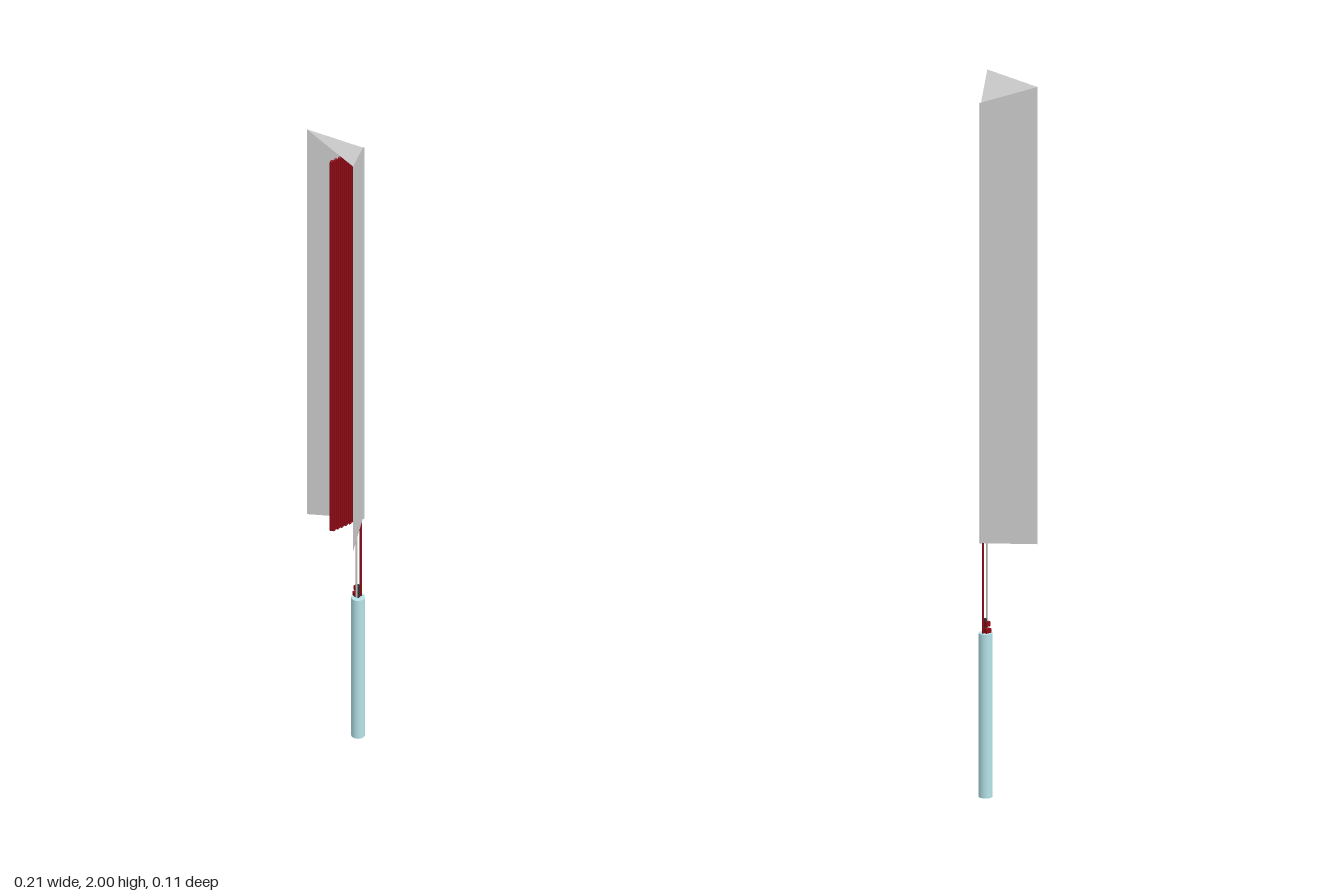
import * as THREE from 'three';

const mat = (color, side = THREE.FrontSide) => new THREE.MeshStandardMaterial({ color, side });
const grey = mat(0xcccccc, THREE.DoubleSide);
const red = mat(0x8e0a14);
const dark = mat(0x333333);
const blue = mat(0xb5e3e8);

const BOTTOM = 0.715, FRONT = 0.058, APEX = -0.052, HALF = 0.105;
const TOP_FRONT = 2, TOP_APEX = 1.953;

function add(parent, name, geometry, material, x = 0, y = 0, z = 0) {
  const mesh = new THREE.Mesh(geometry, material);
  mesh.name = name;
  mesh.position.set(x, y, z);
  parent.add(mesh);
  return mesh;
}

// Flat sheet through its corners, given in order around the edge
function sheet(corners) {
  const g = new THREE.BufferGeometry();
  const points = [];
  for (let i = 1; i < corners.length - 1; i++) points.push(...corners[0], ...corners[i], ...corners[i + 1]);
  g.setAttribute('position', new THREE.Float32BufferAttribute(points, 3));
  g.computeVertexNormals();
  return g;
}

// Upright rod between two heights
function rod(parent, name, radius, y0, y1, x, z, material) {
  return add(parent, name, new THREE.CylinderGeometry(radius, radius, y1 - y0, 10), material, x, (y0 + y1) / 2, z);
}

export function createModel() {
  const model = new THREE.Group();
  model.name = 'cornerReflectorOnHandle';

  // V-shaped reflector, open at the front and bottom
  const reflector = new THREE.Group();
  reflector.name = 'reflector';
  model.add(reflector);
  for (const s of [1, -1]) {
    add(reflector, s > 0 ? 'leftPanel' : 'rightPanel', sheet([
      [0, BOTTOM, APEX], [0, TOP_APEX, APEX],
      [s * HALF, TOP_FRONT, FRONT], [s * HALF, BOTTOM, FRONT],
    ]), grey);
  }
  add(reflector, 'slopingCover', sheet([
    [-HALF, TOP_FRONT, FRONT], [HALF, TOP_FRONT, FRONT], [0, TOP_APEX, APEX],
  ]), grey);
  rod(reflector, 'spine', 0.003, BOTTOM, TOP_APEX, 0, APEX - 0.001, grey);

  // Winding element standing in the middle of the V
  const element = new THREE.Group();
  element.name = 'windingElement';
  model.add(element);
  const count = 16, radius = 0.003, first = -0.045;
  const pitch = (FRONT - radius - first) / (count - 1);
  const low = BOTTOM + pitch / 2 + radius, high = 1.95;
  const bend = new THREE.TorusGeometry(pitch / 2, radius, 8, 8, Math.PI).rotateY(Math.PI / 2);
  for (let i = 0; i < count; i++) {
    const z = first + i * pitch;
    rod(element, 'elementRod', radius, low, high, 0, z, red);
    if (i < count - 1) {
      const atTop = i % 2 === 0;
      const turn = add(element, 'elementBend', bend, red, 0, atTop ? high : low, z + pitch / 2);
      if (!atTop) turn.rotation.x = Math.PI;
    }
  }

  // Handle made of four stacked cells
  const handle = new THREE.Group();
  handle.name = 'handle';
  model.add(handle);
  const cell = 0.115, axis = -0.036;
  for (let i = 0; i < 4; i++) {
    add(handle, 'handleCell', new THREE.CylinderGeometry(0.019, 0.019, cell, 32), blue, 0, (i + 0.5) * cell, axis);
  }

  // Connector and terminal on top of the handle
  add(handle, 'connector', new THREE.BoxGeometry(0.012, 0.012, 0.018), red, -0.008, 0.468, axis);
  add(handle, 'connectorTop', new THREE.BoxGeometry(0.009, 0.013, 0.013), red, -0.008, 0.487, axis);
  rod(handle, 'terminal', 0.004, 0.46, 0.5, 0.001, axis, dark);

  // Pair of leads up to the element
  rod(model, 'frontLead', 0.0025, 0.46, low, 0, -0.031, grey);
  rod(model, 'backLead', 0.003, 0.46, low, 0, first, red);

  return model;
}
